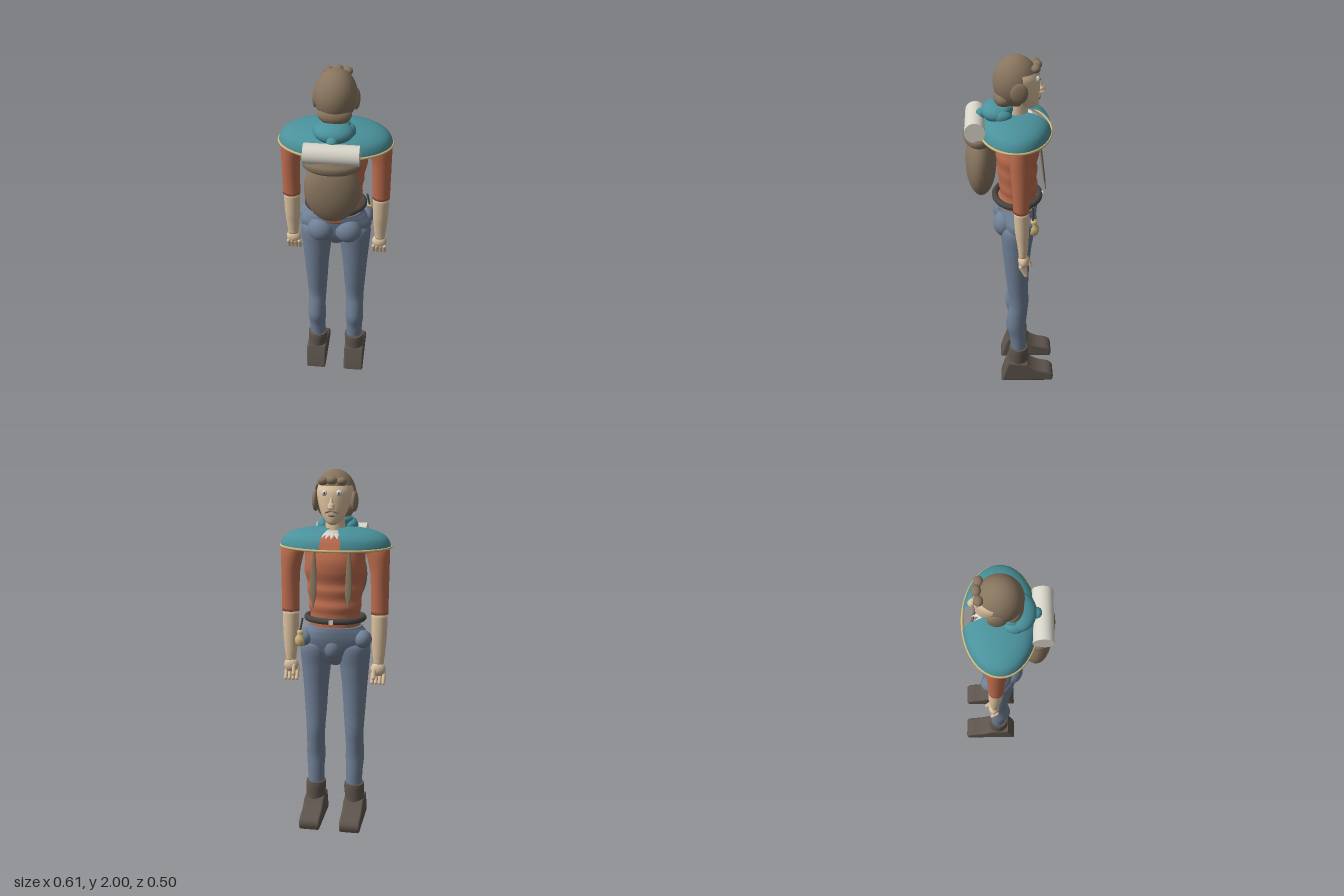
import * as THREE from 'three';

const mat = (name, color) => Object.assign(new THREE.MeshStandardMaterial({ color }), { name });

export function createModel() {
  const brown = mat('brown', 0x88755f), skin = mat('skin', 0xdcc2a0), orange = mat('rust cloth', 0xbd6c4e);
  const teal = mat('teal cloth', 0x4a929c), gold = mat('straw trim', 0xcdb679), boot = mat('boot leather', 0x5e554d);
  const dark = mat('belt leather', 0x484441), white = mat('off white', 0xd8d5ca), blue = mat('blue cloth', 0x708096);
  teal.side = THREE.DoubleSide;
  const root = new THREE.Group();
  root.name = 'backpacker';

  const add = (name, geo, m, x = 0, y = 0, z = 0) => {
    const mesh = new THREE.Mesh(geo, m);
    mesh.name = name;
    mesh.position.set(x, y, z);
    root.add(mesh);
    return mesh;
  };
  const ball = (name, m, x, y, z, rx, ry, rz) =>
    add(name, new THREE.SphereGeometry(1, 28, 20).scale(rx, ry, rz), m, x, y, z);

  // Smooth closed body through elliptical rings [y, cx, cz, rx, rz], listed bottom to top
  const loft = (rings, steps = 6, sides = 28) => {
    const ends = [[...rings[0].slice(0, 3), 0.0005, 0.0005], ...rings, [...rings.at(-1).slice(0, 3), 0.0005, 0.0005]];
    const rows = [ends[0]];
    const n = rings.length;
    for (let i = 0; i < n - 1; i++) {
      for (let s = 0; s < steps; s++) {
        const a = rings[Math.max(0, i - 1)], b = rings[i], c = rings[i + 1], d = rings[Math.min(n - 1, i + 2)];
        const t = s / steps;
        rows.push(b.map((v, k) => k === 0 ? v + (c[0] - v) * t
          : 0.5 * (2 * v + (c[k] - a[k]) * t + (2 * a[k] - 5 * v + 4 * c[k] - d[k]) * t * t
            + (3 * v - a[k] - 3 * c[k] + d[k]) * t * t * t)));
      }
    }
    rows.push(rings[n - 1], ends.at(-1));
    const pos = [], idx = [];
    rows.forEach(([y, cx, cz, rx, rz], i) => {
      for (let j = 0; j < sides; j++) {
        const t = (j / sides) * Math.PI * 2;
        pos.push(cx + rx * Math.cos(t), y, cz + rz * Math.sin(t));
        if (i < rows.length - 1) {
          const a = i * sides + j, b = i * sides + (j + 1) % sides;
          idx.push(a, a + sides, b, b, a + sides, b + sides);
        }
      }
    });
    const g = new THREE.BufferGeometry();
    g.setAttribute('position', new THREE.Float32BufferAttribute(pos, 3));
    g.setIndex(idx);
    g.computeVertexNormals();
    return g;
  };

  const ellipseTube = (rx, rz, r) => {
    const pts = Array.from({ length: 48 }, (_, i) => {
      const t = (i / 48) * Math.PI * 2;
      return new THREE.Vector3(rx * Math.cos(t), 0, rz * Math.sin(t));
    });
    return new THREE.TubeGeometry(new THREE.CatmullRomCurve3(pts, true), 96, r, 10, true);
  };

  // Shirt body with soft folds
  add('shirt', loft([
    [1.12, 0, -0.035, 0.14, 0.105], [1.18, 0, -0.035, 0.14, 0.105], [1.23, 0, -0.04, 0.138, 0.1],
    [1.27, 0, -0.04, 0.146, 0.107], [1.31, 0, -0.035, 0.145, 0.103], [1.36, 0, -0.035, 0.155, 0.11],
    [1.4, 0, -0.032, 0.156, 0.107], [1.46, 0, -0.035, 0.17, 0.118], [1.52, 0, -0.04, 0.165, 0.115],
    [1.57, 0, -0.04, 0.17, 0.1], [1.62, 0, -0.04, 0.21, 0.075], [1.655, 0, -0.04, 0.08, 0.055]]), orange);

  // Trousers: hips, seat and legs
  add('hips', loft([
    [0.93, 0, -0.035, 0.03, 0.03], [0.96, 0, -0.035, 0.1, 0.06], [1.02, 0, -0.035, 0.18, 0.085],
    [1.08, 0, -0.038, 0.2, 0.1], [1.13, 0, -0.038, 0.17, 0.107], [1.16, 0, -0.037, 0.148, 0.107]]), blue);
  ball('trouserFly', blue, 0, 1.04, -0.09, 0.055, 0.07, 0.055);

  for (const s of [-1, 1]) {
    const side = s > 0 ? 'left' : 'right';
    ball(side + 'Seat', blue, s * 0.075, 1.06, 0.035, 0.075, 0.075, 0.062);
    ball(side + 'Pocket', blue, s * 0.16, 1.09, -0.075, 0.05, 0.05, 0.06);
    add(side + 'Leg', loft([
      [0.2, s * 0.11, -0.045, 0.046, 0.044], [0.3, s * 0.112, -0.04, 0.048, 0.048],
      [0.38, s * 0.113, -0.028, 0.053, 0.057], [0.45, s * 0.113, -0.034, 0.051, 0.057],
      [0.54, s * 0.111, -0.045, 0.053, 0.054], [0.66, s * 0.11, -0.037, 0.061, 0.06],
      [0.8, s * 0.11, -0.032, 0.07, 0.07], [0.93, s * 0.108, -0.032, 0.082, 0.081],
      [1.04, s * 0.105, -0.035, 0.09, 0.09], [1.1, s * 0.1, -0.035, 0.06, 0.06]]), blue);

    // Boot: side outline extruded across the foot, with a round shaft
    const p = new THREE.Shape();
    p.moveTo(-0.045, 0.012);
    p.lineTo(0.235, 0.012);
    p.quadraticCurveTo(0.25, 0.05, 0.2, 0.06);
    p.quadraticCurveTo(0.13, 0.07, 0.09, 0.115);
    p.lineTo(-0.01, 0.125);
    p.quadraticCurveTo(-0.03, 0.07, -0.045, 0.012);
    const foot = new THREE.ExtrudeGeometry(p, {
      depth: 0.094, bevelThickness: 0.012, bevelSize: 0.012, bevelSegments: 4, curveSegments: 10,
    }).translate(0, 0, -0.047).rotateY(Math.PI / 2);
    add(side + 'BootFoot', foot, boot, s * 0.115);
    add(side + 'BootShaft', loft([
      [0.05, s * 0.115, -0.04, 0.056, 0.06], [0.1, s * 0.115, -0.042, 0.054, 0.06],
      [0.15, s * 0.114, -0.043, 0.056, 0.058], [0.2, s * 0.112, -0.043, 0.058, 0.057],
      [0.222, s * 0.112, -0.043, 0.055, 0.054]]), boot);

    // Sleeve, forearm and hand
    add(side + 'Sleeve', loft([
      [1.23, s * 0.247, -0.05, 0.048, 0.042], [1.34, s * 0.247, -0.048, 0.049, 0.046],
      [1.46, s * 0.245, -0.046, 0.052, 0.053], [1.55, s * 0.235, -0.043, 0.062, 0.056],
      [1.6, s * 0.22, -0.04, 0.07, 0.05], [1.635, s * 0.2, -0.04, 0.045, 0.03]]), orange);
    add(side + 'Forearm', loft([
      [0.95, s * 0.247, -0.06, 0.028, 0.023], [1.0, s * 0.247, -0.06, 0.034, 0.028],
      [1.1, s * 0.247, -0.055, 0.042, 0.037], [1.235, s * 0.247, -0.05, 0.045, 0.04]]), skin);
    ball(side + 'Palm', skin, s * 0.245, 0.92, -0.065, 0.042, 0.04, 0.03);
    for (let i = 0; i < 4; i++) {
      const f = add(side + 'Finger', new THREE.CapsuleGeometry(0.0105, 0.06, 5, 10), skin,
        s * (0.213 + i * 0.021), 0.87, -0.062);
      f.rotation.x = 0.5;
    }
    const thumb = add(side + 'Thumb', new THREE.CapsuleGeometry(0.011, 0.045, 5, 10), skin, s * 0.225, 0.9, -0.095);
    thumb.rotation.x = 0.4;

    // Hanging cape ties
    const tie = add(side + 'Tie', loft([
      [0, 0, 0, 0.003, 0.002], [0.08, 0, 0, 0.018, 0.006], [0.2, 0, 0, 0.015, 0.006], [0.32, 0, 0, 0.007, 0.005]]),
    brown, s * 0.095, 1.28, -0.185);
    tie.rotation.x = 0.13;

    // Face and cap details that come in pairs
    ball(side + 'EarFlap', brown, s * 0.105, 1.835, -0.04, 0.019, 0.056, 0.046);
    ball(side + 'Eye', white, s * 0.038, 1.885, -0.134, 0.017, 0.017, 0.014);
    ball(side + 'Pupil', dark, s * 0.038, 1.885, -0.146, 0.005, 0.006, 0.004);
    ball(side + 'Moustache', brown, s * 0.018, 1.79, -0.15, 0.02, 0.005, 0.006).rotation.z = -s * 0.35;
    ball(side + 'Curl', brown, s * 0.05, 1.945, -0.125, 0.027, 0.022, 0.024);
  }

  // Belt, buckle and a small flask on the left hip
  add('belt', ellipseTube(0.156, 0.122, 0.017), dark, 0, 1.2, -0.035);
  add('buckle', new THREE.BoxGeometry(0.024, 0.024, 0.008), white, 0, 1.2, -0.174);
  add('flask', new THREE.LatheGeometry([[0, 0], [0.02, 0], [0.029, 0.02], [0.028, 0.045], [0.014, 0.06],
    [0.018, 0.07], [0.016, 0.085], [0, 0.087]].map((q) => new THREE.Vector2(...q)), 20), gold, 0.18, 1.05, -0.12);
  add('flaskCord', new THREE.CylinderGeometry(0.005, 0.005, 0.08, 8), dark, 0.175, 1.165, -0.115).rotation.z = 0.2;

  // Neck, face and nose
  add('neck', new THREE.CylinderGeometry(0.05, 0.058, 0.16, 24), skin, 0, 1.69, -0.035);
  add('face', loft([
    [1.716, 0, -0.1, 0.015, 0.02], [1.73, 0, -0.095, 0.04, 0.046], [1.77, 0, -0.08, 0.066, 0.068],
    [1.83, 0, -0.06, 0.086, 0.09], [1.89, 0, -0.045, 0.095, 0.1], [1.94, 0, -0.03, 0.085, 0.09]]), skin);
  const nose = add('nose', new THREE.ConeGeometry(0.02, 0.08, 14), skin, 0, 1.845, -0.15);
  nose.rotation.x = 0.28;
  ball('noseTip', skin, 0, 1.822, -0.157, 0.019, 0.016, 0.017);
  ball('mouth', dark, 0, 1.768, -0.147, 0.018, 0.004, 0.004);

  // Cap: crown above the brow, back panel, nape and front curl
  const brow = 1.12;
  const cap = (name, ...arc) =>
    add(name, new THREE.SphereGeometry(1, 36, 18, ...arc).scale(0.112, 0.14, 0.118), capMat, 0, 1.86, -0.025);
  const capMat = brown;
  brown.side = THREE.DoubleSide;
  cap('capCrown', 0, Math.PI * 2, 0, brow);
  cap('capBack', -0.3, Math.PI + 0.6, brow, 1.35);
  ball('capNape', brown, 0, 1.78, 0.035, 0.088, 0.055, 0.057);
  ball('frontCurl', brown, 0, 1.95, -0.135, 0.029, 0.022, 0.024);

  // Cape open at the front, with a trim along the hem
  const capeLine = [[1, 0], [0.985, 0.022], [0.93, 0.05], [0.82, 0.072], [0.66, 0.088], [0.42, 0.1], [0.2, 0.104]];
  const gap = 0.19;
  add('cape', new THREE.LatheGeometry(
    new THREE.SplineCurve(capeLine.map((q) => new THREE.Vector2(...q))).getPoints(24),
    64, -Math.PI + gap, 2 * (Math.PI - gap)).scale(0.3, 1, 0.19), teal, 0, 1.592, -0.025);
  add('capeTrim', ellipseTube(0.3, 0.19, 0.007), gold, 0, 1.592, -0.025);

  // Folded hood behind the neck
  ball('hood', teal, 0, 1.7, 0.07, 0.105, 0.055, 0.085);
  ball('hoodFold', teal, 0, 1.725, 0.035, 0.085, 0.04, 0.055);
  for (const s of [-1, 1]) ball('hoodSide', teal, s * 0.075, 1.695, 0.045, 0.037, 0.036, 0.05);
  ball('hoodTip', teal, 0, 1.685, 0.152, 0.03, 0.028, 0.03);

  // Tooth collar fanned across the chest
  for (let i = 0; i < 9; i++) {
    const a = (i - 4) * 0.3;
    const g = new THREE.ConeGeometry(0.02, 0.06, 8).scale(1, 1, 0.4).rotateX(-Math.PI / 2 - 0.45).rotateY(-a);
    add('collarTooth', g, white, Math.sin(a) * 0.085, 1.66, -0.055 - Math.cos(a) * 0.085);
  }
  const collar = add('collarBand', new THREE.TorusGeometry(0.064, 0.014, 8, 32), white, 0, 1.672, -0.045);
  collar.rotation.x = Math.PI / 2;

  // Backpack with top flap and bedroll
  ball('backpack', brown, 0, 1.405, 0.16, 0.148, 0.195, 0.083);
  add('packFlap', loft([
    [1.535, 0, 0.165, 0.125, 0.07], [1.55, 0, 0.165, 0.148, 0.083], [1.58, 0, 0.165, 0.153, 0.086],
    [1.61, 0, 0.165, 0.13, 0.07]]), brown);
  add('bedroll', new THREE.CylinderGeometry(0.054, 0.054, 0.286, 32).rotateZ(Math.PI / 2), white, 0, 1.635, 0.188);

  return root;
}
